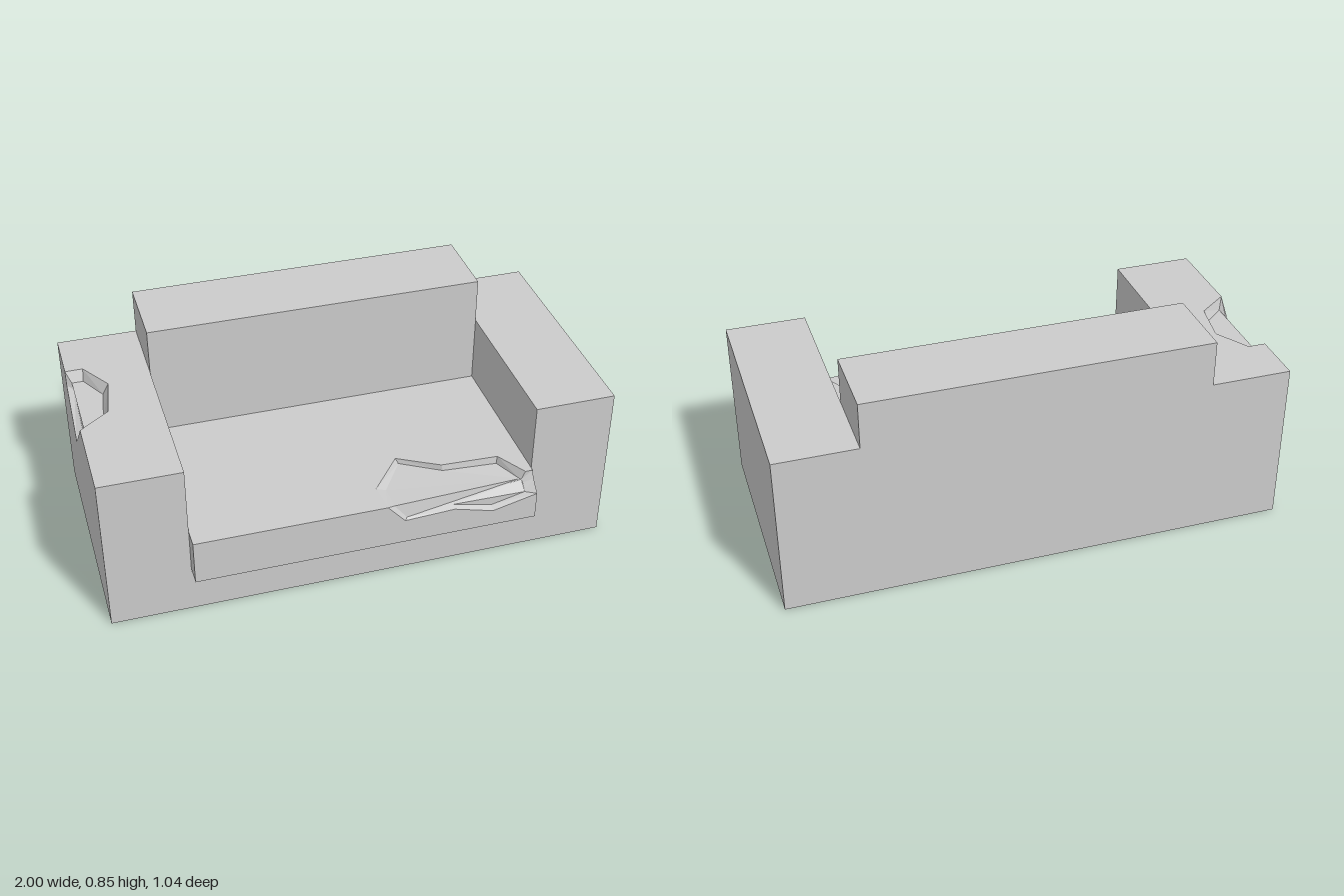
import * as THREE from 'three';

const W = 1, S = 0.68;                 // half width, half seat width
const SEAT = 0.38, ARM = 0.66, TOP = 0.845, LIP = 0.195;
const BACK = -0.525, REST = -0.21, FRONT = 0.445, NOSE = 0.52;

const material = new THREE.MeshStandardMaterial({
  color: 0xcccccc, flatShading: true, side: THREE.DoubleSide,
});

// Triangles of a flat outline, wound to face the given outward direction
function panel(points, outward) {
  const p = points.map((a) => new THREE.Vector3(...a));
  const out = new THREE.Vector3(...outward);
  const size = out.toArray().map(Math.abs);
  const drop = size.indexOf(Math.max(...size));
  const flat = p.map((v) => new THREE.Vector2(
    v.getComponent((drop + 1) % 3), v.getComponent((drop + 2) % 3)));
  const result = [];
  for (const [a, b, c] of THREE.ShapeUtils.triangulateShape(flat, [])) {
    const n = p[b].clone().sub(p[a]).cross(p[c].clone().sub(p[a]));
    const order = n.dot(out) < 0 ? [a, c, b] : [a, b, c];
    order.forEach((i) => result.push(...p[i].toArray()));
  }
  return result;
}

function addPart(group, name, panels) {
  const g = new THREE.BufferGeometry();
  g.setAttribute('position', new THREE.Float32BufferAttribute(panels.flat(), 3));
  g.computeVertexNormals();
  const mesh = new THREE.Mesh(g, material);
  mesh.name = name;
  group.add(mesh);
}

// Rim strips between an outer and an inner ring, facing the dent's middle
function rim(outer, inner, middle) {
  return outer.flatMap((a, i) => {
    const j = (i + 1) % outer.length;
    const b = outer[j], c = inner[j], d = inner[i];
    const toMiddle = middle.map((m, k) => m - (a[k] + b[k]) / 2);
    const va = new THREE.Vector3(...a);
    const n = new THREE.Vector3(...b).sub(va).cross(new THREE.Vector3(...d).sub(va));
    const quad = n.dot(new THREE.Vector3(...toMiddle)) < 0
      ? [a, c, b, a, d, c] : [a, b, c, a, c, d];
    return quad.flat();
  });
}

// Outlines of the chipped seat corner and the chipped arm
const seatOuter = [
  [0.07, SEAT, NOSE], [0.06, SEAT, 0.4], [0.19, SEAT, 0.24], [0.35, SEAT, 0.33],
  [0.58, SEAT, 0.34], [0.65, SEAT, 0.46], [S, SEAT, 0.46], [S, 0.35, 0.475],
  [S, 0.31, NOSE], [0.5, 0.265, NOSE], [0.34, 0.31, NOSE], [0.14, 0.3, NOSE],
];
const seatInner = [
  [0.1, 0.37, 0.505], [0.1, 0.365, 0.4], [0.2, 0.36, 0.25], [0.355, 0.355, 0.335],
  [0.575, 0.35, 0.345], [0.63, 0.345, 0.455], [0.635, 0.345, 0.46], [0.64, 0.33, 0.465],
  [0.64, 0.305, 0.49], [0.5, 0.275, 0.495], [0.34, 0.318, 0.5], [0.15, 0.307, 0.51],
];
const armOuter = [
  [-W, ARM, -0.31], [-0.93, ARM, -0.31], [-0.85, ARM, -0.18], [-0.88, ARM, 0],
  [-W, ARM, 0.09], [-W, 0.43, -0.15], [-W, 0.6, -0.3],
];
const armInner = [
  [-0.98, 0.615, -0.29], [-0.935, 0.615, -0.29], [-0.875, 0.615, -0.18],
  [-0.9, 0.615, -0.01], [-0.98, 0.615, 0.06], [-0.97, 0.46, -0.15], [-0.975, 0.59, -0.28],
];

export function createModel() {
  const group = new THREE.Group();
  group.name = 'sofa';
  const up = [0, 1, 0], down = [0, -1, 0], front = [0, 0, 1], back = [0, 0, -1];

  // Hollow base, open underneath
  addPart(group, 'frontPanel', [panel([
    [-W, 0, FRONT], [W, 0, FRONT], [W, ARM, FRONT], [S, ARM, FRONT],
    [S, LIP, FRONT], [-S, LIP, FRONT], [-S, ARM, FRONT], [-W, ARM, FRONT]], front)]);
  addPart(group, 'backPanel', [panel([
    [-W, 0, BACK], [W, 0, BACK], [W, ARM, BACK], [S, ARM, BACK],
    [S, TOP, BACK], [-S, TOP, BACK], [-S, ARM, BACK], [-W, ARM, BACK]], back)]);

  // Arms: the right one has the chip cut from its top and outer side
  for (const s of [1, -1]) {
    const chipTop = s < 0 ? armOuter.slice(0, 5) : [];
    const chipSide = s < 0
      ? [armOuter[0], armOuter[6], armOuter[5], armOuter[4]] : [];
    addPart(group, s > 0 ? 'leftArm' : 'rightArm', [
      panel([[s * S, ARM, FRONT], [s * S, ARM, BACK], [s * W, ARM, BACK],
        ...chipTop, [s * W, ARM, FRONT]], up),
      panel([[s * W, 0, FRONT], [s * W, 0, BACK], [s * W, ARM, BACK],
        ...chipSide, [s * W, ARM, FRONT]], [s, 0, 0]),
      panel([[s * S, SEAT, REST], [s * S, ARM, REST],
        [s * S, ARM, FRONT], [s * S, SEAT, FRONT]], [-s, 0, 0]),
    ]);
  }

  // Backrest
  addPart(group, 'backrest', [
    panel([[-S, SEAT, REST], [S, SEAT, REST], [S, TOP, REST], [-S, TOP, REST]], front),
    panel([[-S, TOP, REST], [S, TOP, REST], [S, TOP, BACK], [-S, TOP, BACK]], up),
    ...[1, -1].map((s) => panel([[s * S, ARM, REST], [s * S, ARM, BACK],
      [s * S, TOP, BACK], [s * S, TOP, REST]], [s, 0, 0])),
  ]);

  // Seat with its overhanging nose, cut around the chip
  addPart(group, 'seat', [
    panel([[-S, SEAT, NOSE], [-S, SEAT, REST], [S, SEAT, REST],
      ...seatOuter.slice(0, 7).reverse()], up),
    panel([[-S, SEAT, NOSE], [-S, LIP, NOSE], [S, LIP, NOSE],
      ...seatOuter.slice(8), seatOuter[0]], front),
    panel([[-S, LIP, FRONT], [S, LIP, FRONT], [S, LIP, NOSE], [-S, LIP, NOSE]], down),
    panel([[-S, LIP, FRONT], [-S, LIP, NOSE], [-S, SEAT, NOSE], [-S, SEAT, FRONT]], [-1, 0, 0]),
    panel([[S, SEAT, FRONT], [S, LIP, FRONT], [S, LIP, NOSE],
      seatOuter[8], seatOuter[7], seatOuter[6]], [1, 0, 0]),
  ]);

  // Sunken chips
  addPart(group, 'seatChip', [
    rim(seatOuter, seatInner, [0.37, 0.38, 0.47]),
    panel(seatInner.slice(0, 6), up),
    panel([...seatInner.slice(5), seatInner[0]], front),
  ]);
  addPart(group, 'armChip', [
    rim(armOuter, armInner, [-0.97, 0.64, -0.13]),
    panel(armInner.slice(0, 5), up),
    panel([...armInner.slice(4), armInner[0]], [-1, 0, 0]),
  ]);
  return group;
}
